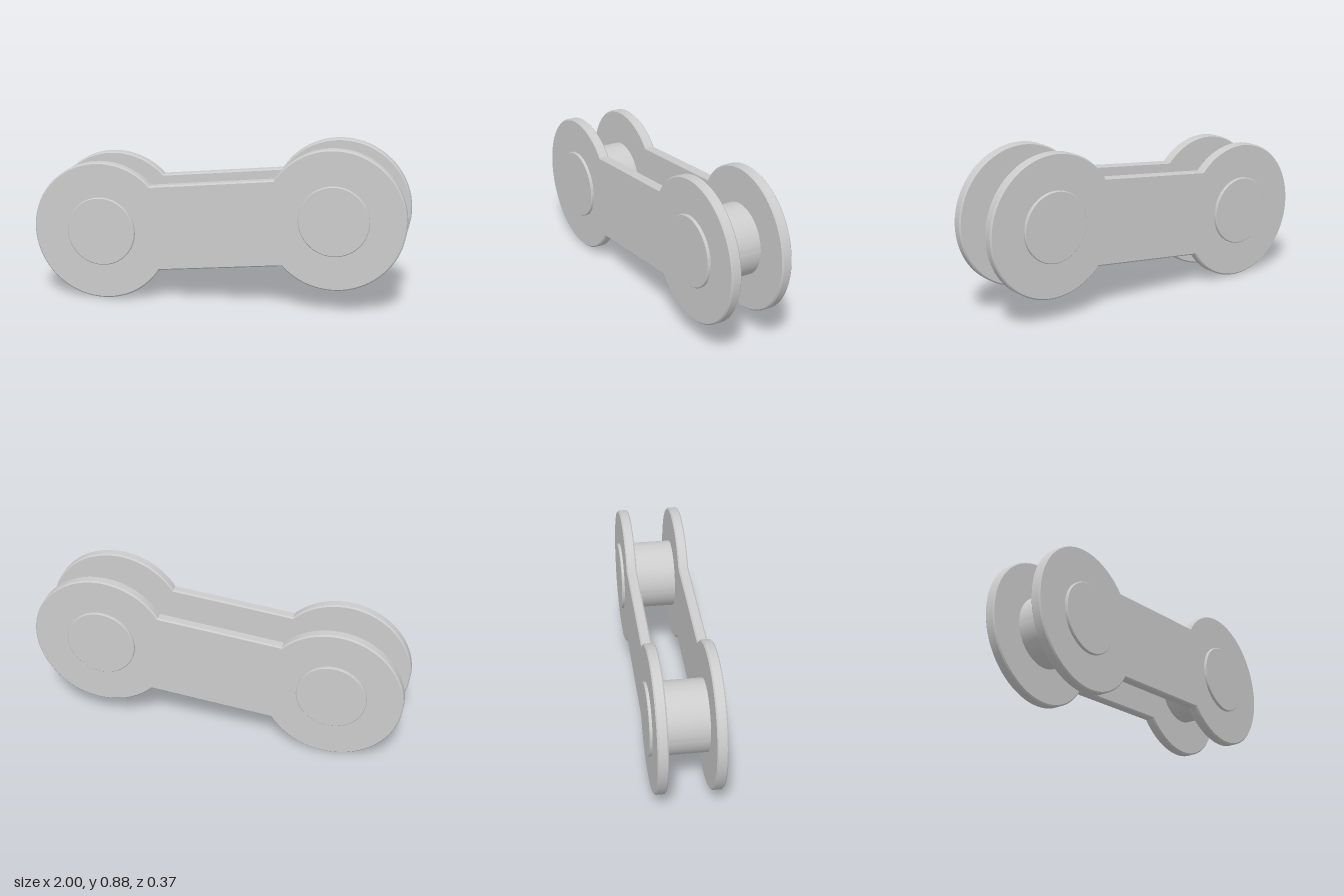
import * as THREE from 'three';
import { toCreasedNormals } from 'three/addons/utils/BufferGeometryUtils.js';

const HALF_PITCH = 0.628;  // half the distance between the pin centres
const EYE_R = 0.375;       // radius of the rounded plate ends
const PIN_R = 0.186;
const TILT = 0.101;        // slope of the whole link

// Extrudes a shape to a given overall thickness, centred on z = 0, with small chamfers.
function chamferedSlab(shape, thickness, chamfer) {
  const geometry = new THREE.ExtrudeGeometry(shape, {
    depth: thickness - 2 * chamfer,
    curveSegments: 64,
    bevelThickness: chamfer,
    bevelSize: chamfer,
    bevelOffset: -chamfer,
    bevelSegments: 1,
  });
  geometry.translate(0, 0, chamfer - thickness / 2);
  return toCreasedNormals(geometry, 0.4);
}

// Two round eyes joined by a straight, narrower bar.
function plateShape() {
  const a = THREE.MathUtils.degToRad(38); // where the bar meets each eye
  const shape = new THREE.Shape();
  shape.absarc(-HALF_PITCH, 0, EYE_R, a, 2 * Math.PI - a, false);
  shape.absarc(HALF_PITCH, 0, EYE_R, Math.PI + a, 3 * Math.PI - a, false);
  shape.closePath();
  return shape;
}

export function createModel() {
  const model = new THREE.Group();
  model.name = 'chainLink';
  const material = new THREE.MeshStandardMaterial({ color: 0xcccccc });

  const link = new THREE.Group();
  link.name = 'tiltedLink';
  link.rotation.z = TILT;
  link.position.y = EYE_R + HALF_PITCH * Math.sin(TILT);
  model.add(link);

  const plateGeometry = chamferedSlab(plateShape(), 0.055, 0.007);
  const pinShape = new THREE.Shape().absarc(0, 0, PIN_R, 0, 2 * Math.PI, false);
  const pinGeometry = chamferedSlab(pinShape, 0.37, 0.004);

  for (const side of [1, -1]) {
    // Front and back plates
    const plate = new THREE.Mesh(plateGeometry, material);
    plate.name = side > 0 ? 'frontPlate' : 'backPlate';
    plate.position.z = side * 0.1425;
    link.add(plate);

    // Pins running through both plates
    const pin = new THREE.Mesh(pinGeometry, material);
    pin.name = side > 0 ? 'leftPin' : 'rightPin';
    pin.position.x = side * HALF_PITCH;
    link.add(pin);
  }
  return model;
}
